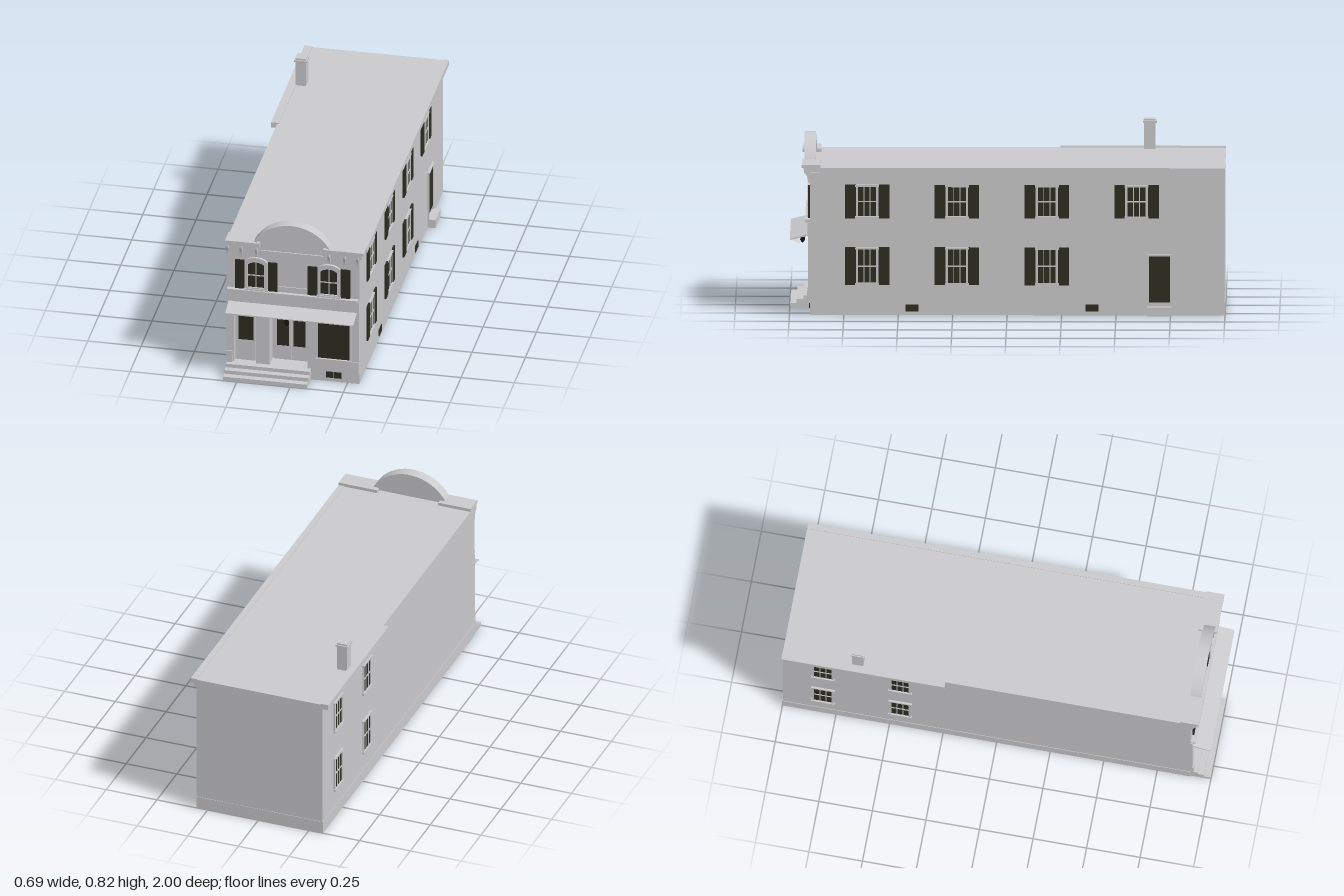
import * as THREE from 'three';

const mat = (name, color, side = THREE.FrontSide) => {
  const m = new THREE.MeshStandardMaterial({ color, side });
  m.name = name;
  return m;
};

export function createModel() {
  const wall = mat('pale grey', 0xcacacc, THREE.DoubleSide);
  const dark = mat('dark olive', 0x2d2d22);
  const black = mat('black iron', 0x141414);
  const root = new THREE.Group();
  root.name = 'shopBuilding';

  const add = (parent, name, geo, m) => {
    const mesh = new THREE.Mesh(geo, m);
    mesh.name = name;
    parent.add(mesh);
    return mesh;
  };
  // Box given by its limits on each axis
  const box = (parent, name, m, x0, x1, y0, y1, z0, z1) => {
    const b = add(parent, name, new THREE.BoxGeometry(x1 - x0, y1 - y0, z1 - z0), m);
    b.position.set((x0 + x1) / 2, (y0 + y1) / 2, (z0 + z1) / 2);
    return b;
  };
  const extrude = (parent, name, m, shape, depth, z) => {
    const e = add(parent, name, new THREE.ExtrudeGeometry(shape, { depth, bevelEnabled: false, curveSegments: 24 }), m);
    e.position.z = z;
    return e;
  };
  const rect = (C, x0, x1, y0, y1) => new C([[x0, y0], [x1, y0], [x1, y1], [x0, y1]].map(p => new THREE.Vector2(...p)));
  const group = (name, x, z, ry) => {
    const g = new THREE.Group();
    g.name = name;
    g.position.set(x, 0, z);
    g.rotation.y = ry;
    root.add(g);
    return g;
  };

  // Hollow body, open underneath
  const L = -0.317, R = 0.305, F = 0.906;
  box(root, 'rightWall', wall, R - 0.01, R, 0, 0.68, -0.998, F - 0.01);
  box(root, 'leftWall', wall, L, L + 0.01, 0, 0.68, -0.998, F - 0.01);
  box(root, 'backWall', wall, L + 0.01, R - 0.01, 0, 0.68, -0.998, -0.988);
  box(root, 'roof', wall, L, R, 0.672, 0.685, -1, F);
  box(root, 'backFoundation', wall, L, R, 0, 0.06, -1, -0.998);
  box(root, 'leftFoundation', wall, L - 0.002, L, 0, 0.06, -1, F);
  box(root, 'rightEave', wall, R, 0.333, 0.663, 0.688, -1, 0.86);
  box(root, 'rightEaveMoulding', wall, R, 0.317, 0.648, 0.663, -1, F);
  box(root, 'leftEave', wall, -0.345, L + 0.01, 0.663, 0.69, -1, -0.24);

  // Chimney
  box(root, 'chimney', wall, -0.31, -0.26, 0.68, 0.825, -0.676, -0.624);
  box(root, 'chimneyCap', wall, -0.315, -0.255, 0.808, 0.817, -0.682, -0.618);

  // Front wall with the two door openings cut out
  const facade = rect(THREE.Shape, L, R, 0, 0.69);
  facade.holes.push(rect(THREE.Path, -0.115, 0.062, 0.055, 0.325), rect(THREE.Path, -0.282, -0.178, 0.055, 0.325));
  extrude(root, 'frontWall', wall, facade, 0.01, F - 0.01);

  // Recessed doorway: side cheeks, soffit, floor and back
  const recess = (name, x0, x1, d) => {
    const z = F - d;
    box(root, name + 'Back', wall, x0, x1, 0.055, 0.325, z - 0.005, z);
    box(root, name + 'Soffit', wall, x0, x1, 0.325, 0.33, z, F - 0.01);
    box(root, name + 'Floor', wall, x0, x1, 0.05, 0.055, z, F - 0.01);
    for (const x of [x0 - 0.005, x1]) box(root, name + 'Cheek', wall, x, x + 0.005, 0.05, 0.33, z, F - 0.01);
    return z;
  };
  const zd = recess('mainEntry', -0.115, 0.062, 0.07);
  for (const [x0, x1, g0, g1] of [[-0.103, -0.027, -0.093, -0.038], [-0.026, 0.05, -0.016, 0.041]]) {
    box(root, 'doorLeaf', wall, x0, x1, 0.057, 0.3, zd, zd + 0.008);
    box(root, 'doorGlass', dark, g0, g1, 0.13, 0.292, zd + 0.008, zd + 0.01);
  }
  box(root, 'mainTransom', dark, -0.1, 0.048, 0.307, 0.323, zd, zd + 0.006);
  const zs = recess('sideEntry', -0.282, -0.178, 0.03);
  box(root, 'sideDoorLeaf', wall, -0.275, -0.185, 0.057, 0.296, zs, zs + 0.008);
  box(root, 'sideDoorGlass', dark, -0.265, -0.195, 0.163, 0.283, zs + 0.008, zs + 0.01);
  for (const x of [-0.278, -0.228]) box(root, 'sideTransom', dark, x, x + 0.047, 0.307, 0.323, zs, zs + 0.006);

  // Shop window, corner pilasters and vent
  box(root, 'shopWindowGlass', dark, 0.113, 0.262, 0.12, 0.312, F, F + 0.004);
  box(root, 'shopWindowSill', wall, 0.102, 0.27, 0.112, 0.12, F, F + 0.014);
  for (const x of [0.105, 0.262]) box(root, 'shopWindowJamb', wall, x, x + 0.008, 0.12, 0.325, F, F + 0.008);
  box(root, 'shopWindowHead', wall, 0.113, 0.262, 0.312, 0.325, F, F + 0.008);
  for (const [x0, x1] of [[L, -0.288], [0.275, R]]) {
    box(root, 'pilaster', wall, x0, x1, 0.055, 0.43, F, F + 0.008);
    box(root, 'pilasterBase', wall, x0, x1, 0.055, 0.115, F, F + 0.013);
  }
  for (let i = 0; i < 4; i++) box(root, 'frontVent', dark, 0.15 + i * 0.0182, 0.167 + i * 0.0182, 0.02, 0.05, F, F + 0.004);

  // Front steps
  [[0.02, 0.998], [0.038, 0.968], [0.056, 0.938]].forEach(([y, z], i) =>
    box(root, 'frontStep', wall, -0.315, 0.078, [0, 0.02, 0.038][i], y, F, z));

  // Fascia board, shop cornice and panel
  box(root, 'fascia', wall, -0.29, 0.276, 0.375, 0.43, F, F + 0.012);
  box(root, 'shopCornice', wall, -0.312, 0.302, 0.43, 0.442, F, F + 0.022);
  box(root, 'centrePanel', wall, -0.075, 0.063, 0.442, 0.47, F, F + 0.005);
  box(root, 'friezeMoulding', wall, -0.157, 0.143, 0.64, 0.65, F, F + 0.006);

  // Awning: sloping top, closed ends and scalloped lower edge
  const aw = new THREE.Shape([[F, 0.376], [0.998, 0.352], [0.998, 0.347], [F, 0.368]].map(p => new THREE.Vector2(...p)));
  const awning = extrude(root, 'awning', wall, aw, 0.6, 0);
  awning.rotation.y = -Math.PI / 2;
  awning.position.x = 0.295;
  const scallops = new THREE.Shape();
  scallops.moveTo(-0.295, 0);
  scallops.lineTo(-0.295, -0.042);
  for (let i = 0; i < 16; i++) {
    const x = -0.295 + i * 0.03625;
    scallops.quadraticCurveTo(x + 0.018, -0.06, x + 0.03625, -0.042);
  }
  scallops.lineTo(0.285, 0);
  const valance = add(root, 'awningValance', new THREE.ShapeGeometry(scallops, 6), wall);
  valance.position.set(0, 0.35, 0.996);
  valance.rotation.x = 1.08;

  // Hanging lantern
  const lantern = new THREE.Group();
  lantern.name = 'lantern';
  lantern.position.set(-0.027, 0, 0.942);
  root.add(lantern);
  const profile = [[0, 0.285], [0.007, 0.291], [0.011, 0.298], [0.009, 0.322], [0.012, 0.324], [0.003, 0.334], [0, 0.334]];
  add(lantern, 'lanternBody', new THREE.LatheGeometry(profile.map(p => new THREE.Vector2(...p)), 8), black);
  box(lantern, 'lanternRod', black, -0.002, 0.002, 0.33, 0.365, -0.002, 0.002);

  // Upper front windows with arched heads and shutters
  const arched = (C, w, y0, spring, rise) => {
    const s = new C();
    s.moveTo(-w, y0);
    s.lineTo(w, y0);
    s.lineTo(w, spring);
    s.quadraticCurveTo(w * 0.6, spring + rise, 0, spring + rise);
    s.quadraticCurveTo(-w * 0.6, spring + rise, -w, spring);
    s.closePath();
    return s;
  };
  for (const x of [-0.177, 0.164]) {
    const g = group('archedWindow', x, F, 0);
    const frame = arched(THREE.Shape, 0.053, 0.447, 0.59, 0.02);
    frame.holes.push(arched(THREE.Path, 0.039, 0.455, 0.573, 0.014));
    extrude(g, 'archedFrame', wall, frame, 0.012, 0);
    extrude(g, 'archedGlass', dark, arched(THREE.Shape, 0.039, 0.455, 0.573, 0.014), 0.004, 0);
    box(g, 'verticalBar', wall, -0.002, 0.002, 0.455, 0.585, 0.004, 0.008);
    box(g, 'crossBar', wall, -0.039, 0.039, 0.515, 0.519, 0.004, 0.008);
    box(g, 'sill', wall, -0.057, 0.057, 0.441, 0.449, 0, 0.016);
    for (const s of [-1, 1]) box(g, 'shutter', dark, s * 0.077 - 0.022, s * 0.077 + 0.022, 0.443, 0.59, 0, 0.009);
  }

  // Front cornice with brackets
  for (const [x0, x1] of [[L, -0.158], [0.143, 0.333]]) {
    box(root, 'frontCorniceTop', wall, x0, x1, 0.686, 0.701, 0.857, 0.943);
    box(root, 'frontCorniceBed', wall, x0, Math.min(x1, 0.322), 0.675, 0.686, 0.865, 0.934);
  }
  for (const x of [-0.311, -0.248, -0.176, 0.164, 0.237, 0.299]) {
    const s = new THREE.Shape();
    s.moveTo(0, 0.675);
    s.lineTo(0.026, 0.675);
    s.lineTo(0.026, 0.66);
    s.quadraticCurveTo(0.01, 0.65, 0.008, 0.615);
    s.lineTo(0, 0.615);
    const b = extrude(root, 'corniceBracket', wall, s, 0.011, F);
    b.rotation.y = -Math.PI / 2;
    b.position.x = x + 0.0055;
  }

  // Arched parapet: thick rim around a set-back panel
  const segment = r => {
    const a = Math.asin((0.688 - 0.598) / r);
    return new THREE.Shape().absarc(-0.007, 0.598, r, a, Math.PI - a);
  };
  const ring = (name, r0, r1, z0, z1) => {
    const a = Math.asin(0.09 / r1), b = Math.asin(0.09 / r0);
    const s = new THREE.Shape();
    s.absarc(-0.007, 0.598, r1, a, Math.PI - a, false);
    s.absarc(-0.007, 0.598, r0, Math.PI - b, b, true);
    extrude(root, name, wall, s, z1 - z0, z0);
  };
  ring('parapetRim', 0.193, 0.205, 0.88, 0.932);
  ring('parapetMoulding', 0.183, 0.193, 0.88, 0.922);
  extrude(root, 'parapetPanel', wall, segment(0.184), 0.024, 0.882);

  // Side windows, drawn facing +z and turned onto the walls
  const sideWindow = (x, z, ry, y, h, shutters) => {
    const g = group('sideWindow', x, z, ry), y0 = y - h / 2, y1 = y + h / 2, w = 0.042;
    box(g, 'glass', dark, -w, w, y0 + 0.01, y1 - 0.01, 0, 0.003);
    for (const s of [-1, 1]) {
      box(g, 'jamb', wall, s * 0.046 - 0.005, s * 0.046 + 0.005, y0, y1, 0, 0.007);
      if (shutters) box(g, 'shutter', dark, s * 0.077 - 0.025, s * 0.077 + 0.025, y0, y1, 0, 0.008);
      box(g, 'verticalBar', wall, s * 0.014 - 0.002, s * 0.014 + 0.002, y0, y1, 0.003, 0.006);
    }
    box(g, 'crossBar', wall, -w, w, y - 0.003, y + 0.003, 0.003, 0.006);
    box(g, 'lintel', wall, -0.055, 0.055, y1 - 0.01, y1, 0, 0.009);
    box(g, 'sill', wall, -0.055, 0.055, y0, y0 + 0.01, 0, 0.011);
  };
  [0.643, 0.231, -0.182, -0.594].forEach((z, i) => {
    sideWindow(R, z, Math.PI / 2, 0.528, 0.155, true);
    if (i < 3) sideWindow(R, z, Math.PI / 2, 0.228, 0.175, true);
  });
  for (const z of [-0.81, -0.45]) {
    sideWindow(L, z, -Math.PI / 2, 0.54, 0.16, false);
    sideWindow(L, z, -Math.PI / 2, 0.235, 0.175, false);
  }

  // Side door, its step and the basement vents
  box(root, 'rearSideDoor', dark, R, R + 0.004, 0.06, 0.276, -0.747, -0.65);
  for (const z of [-0.754, -0.65]) box(root, 'rearDoorJamb', wall, R, R + 0.008, 0.042, 0.283, z, z + 0.007);
  box(root, 'rearDoorHead', wall, R, R + 0.01, 0.276, 0.285, -0.757, -0.64);
  box(root, 'rearDoorStep', wall, R, 0.343, 0, 0.042, -0.755, -0.642);
  for (const z of [0.437, -0.39]) box(root, 'sideVent', dark, R, R + 0.004, 0.018, 0.05, z - 0.03, z + 0.03);

  return root;
}
